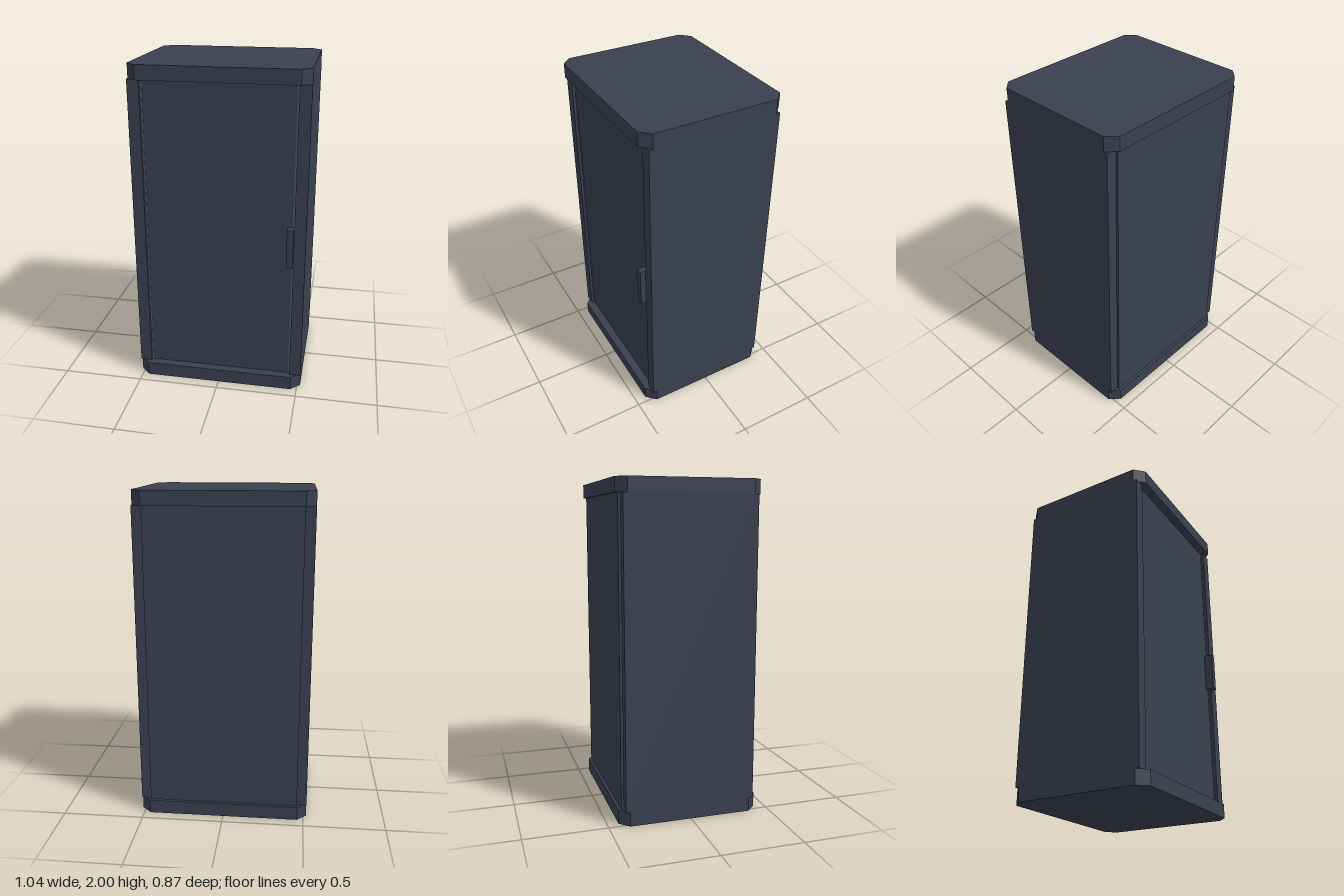
import * as THREE from 'three';

export function createModel() {
  const model = new THREE.Group();
  model.name = 'cabinet';
  const slate = new THREE.MeshStandardMaterial({ color: 0x3a4050 });
  slate.name = 'slate';
  const paleSlate = new THREE.MeshStandardMaterial({ color: 0x50576a });
  paleSlate.name = 'pale slate';

  const W = 0.52, D = 0.433, CUT = 0.058, CAP = 0.086;
  const panelHeight = 2 - 2 * CAP;

  function add(name, geometry, material, x, y, z) {
    const mesh = new THREE.Mesh(geometry, material);
    mesh.name = name;
    mesh.position.set(x, y, z);
    model.add(mesh);
    return mesh;
  }
  // Box given by its limits in x, y and z
  function box(name, x0, x1, y0, y1, z0, z1, material = slate) {
    return add(name, new THREE.BoxGeometry(x1 - x0, y1 - y0, z1 - z0), material,
      (x0 + x1) / 2, (y0 + y1) / 2, (z0 + z1) / 2);
  }

  // Plinth and top: rectangles with cut corners
  const outline = new THREE.Shape([
    [W, D - CUT], [W - CUT, D], [CUT - W, D], [-W, D - CUT],
    [-W, CUT - D], [CUT - W, -D], [W - CUT, -D], [W, CUT - D],
  ].map(([x, y]) => new THREE.Vector2(x, y)));
  const slab = new THREE.ExtrudeGeometry(outline, { depth: CAP, bevelEnabled: false });
  slab.rotateX(-Math.PI / 2);
  add('plinth', slab, slate, 0, 0, 0);
  add('top', slab, slate, 0, 2 - CAP, 0);

  // Side walls, whose front edges frame the recessed door
  for (const [side, s] of [['left', 1], ['right', -1]]) {
    const wall = box(side + 'Wall', -0.035, 0.035, CAP, CAP + panelHeight, -0.4, 0.4);
    wall.position.x = s * 0.485;
    const seam = box(side + 'DoorSeam', -0.005, 0.005, CAP, CAP + panelHeight, 0.378, 0.383, paleSlate);
    seam.position.x = s * 0.445;
  }

  // Door, back panel standing slightly proud, and handle
  box('door', -0.45, 0.45, CAP, CAP + panelHeight, 0.34, 0.38);
  box('backPanel', -0.46, 0.46, CAP, CAP + panelHeight, -0.415, -0.37);
  box('handle', 0.41, 0.45, 0.84, 1.08, 0.38, D);

  return model;
}
